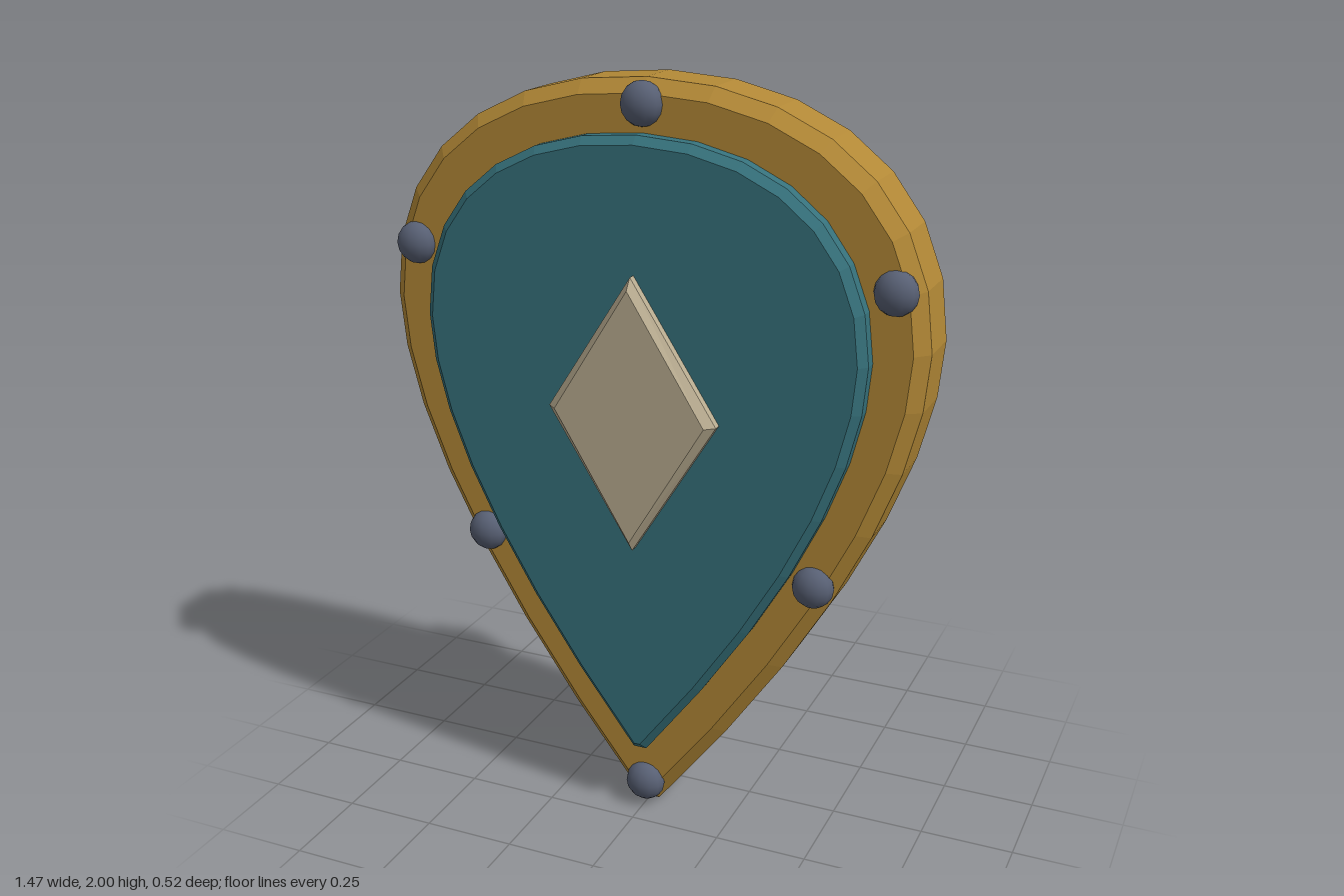
import * as THREE from 'three';

const paint = (name, color) => {
  const m = new THREE.MeshStandardMaterial({ color });
  m.name = name;
  return m;
};

// Half a teardrop as two Bezier curves, mirrored into a closed shape
function teardrop(sx = 1, sy = 1, dy = 0) {
  const v = (x, y) => new THREE.Vector2(x * sx, y * sy + dy);
  const upper = new THREE.CubicBezierCurve(v(0, 1.965), v(0.42, 1.965), v(0.7, 1.75), v(0.7, 1.39));
  const lower = new THREE.CubicBezierCurve(v(0.7, 1.39), v(0.7, 1.08), v(0.48, 0.62), v(0.01, 0.035));
  const half = [...upper.getPoints(7), ...lower.getPoints(7).slice(1)];
  const other = half.slice(1).reverse().map((p) => new THREE.Vector2(-p.x, p.y));
  return new THREE.Shape([...half, ...other]);
}

// Chamfered plate between two z values
function plate(shape, back, front, bevel) {
  const g = new THREE.ExtrudeGeometry(shape, {
    depth: front - back - 2 * bevel, bevelEnabled: true,
    bevelThickness: bevel, bevelSize: bevel, bevelSegments: 1,
  });
  return g.translate(0, 0, back + bevel);
}

export function createModel() {
  const model = new THREE.Group();
  model.name = 'shield';
  const gold = paint('gold', 0xb28836);
  const teal = paint('teal', 0x36717b);
  const bone = paint('bone', 0xbaad91);
  const steel = paint('steel', 0x586074);
  const leather = paint('dark leather', 0x35273a);

  const add = (name, geometry, material) => {
    const mesh = new THREE.Mesh(geometry, material);
    mesh.name = name;
    model.add(mesh);
    return mesh;
  };

  // Body and raised front panel
  add('body', plate(teardrop(), -0.042, 0.163, 0.035), gold);
  add('frontPanel', plate(teardrop(0.829, 0.847, 0.185), 0.1, 0.218, 0.021), teal);

  // Diamond boss
  const diamond = new THREE.Shape([[0, 0.83], [0.206, 1.17], [0, 1.5], [-0.206, 1.17]]
    .map(([x, y]) => new THREE.Vector2(x, y)));
  add('diamondBoss', plate(diamond, 0.19, 0.26, 0.021), bone);

  // Rivets around the rim
  const rivet = new THREE.SphereGeometry(0.056, 12, 8).scale(1, 1, 0.8);
  for (const [x, y] of [[0, 1.94], [0.65, 1.54], [-0.65, 1.54], [0.47, 0.75], [-0.47, 0.75], [0, 0.07]]) {
    add('rivet', rivet, steel).position.set(x, y, 0.16);
  }

  // Faceted grip arching out of the back
  const grip = new THREE.TorusGeometry(0.3, 0.05, 8, 16, Math.PI)
    .rotateZ(Math.PI / 2).rotateY(-Math.PI / 2).toNonIndexed();
  grip.computeVertexNormals();
  add('grip', grip, leather).position.set(0, 1.17, 0.092);

  return model;
}
